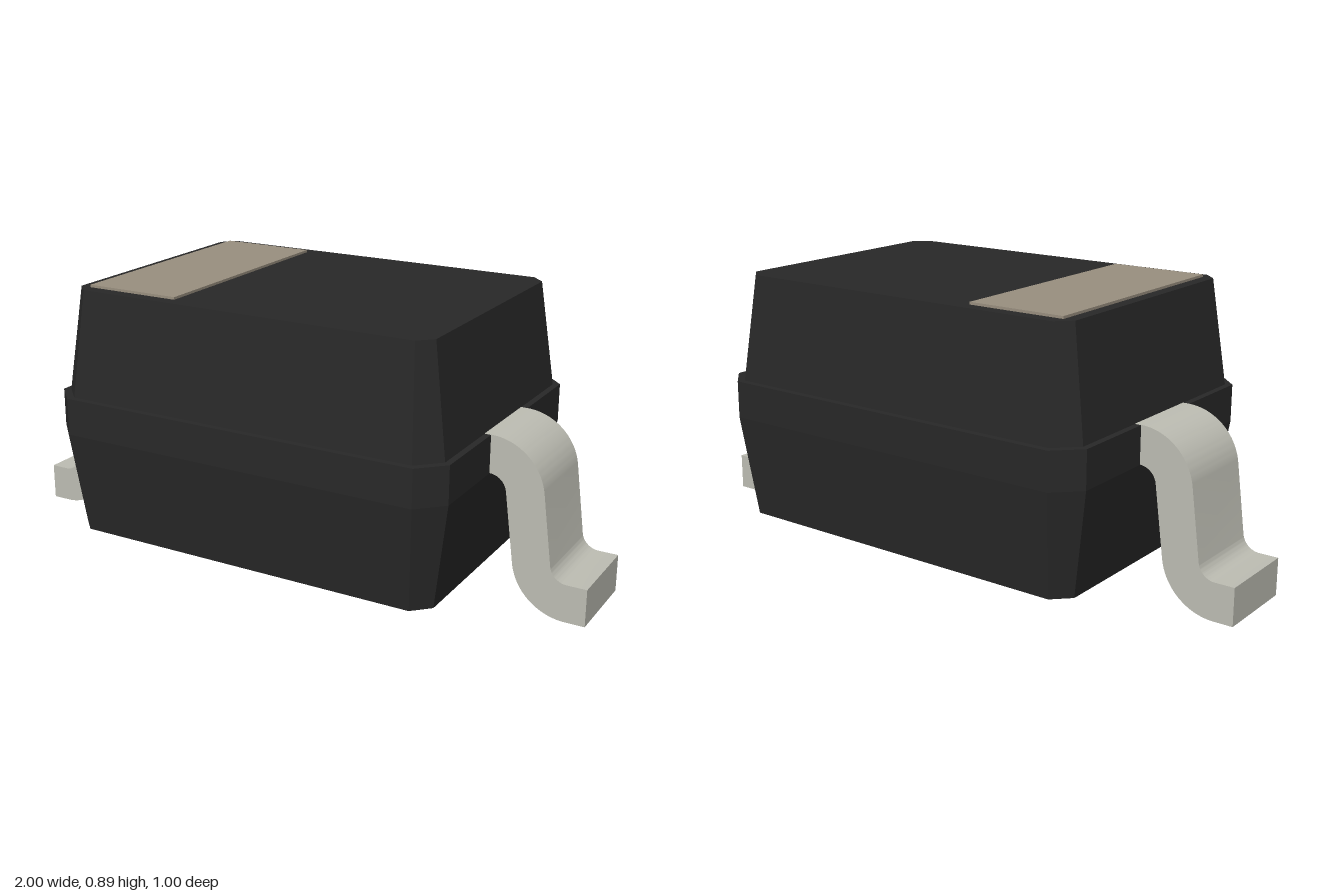
import * as THREE from 'three';
import { toCreasedNormals } from 'three/addons/utils/BufferGeometryUtils.js';

const material = (color) => new THREE.MeshStandardMaterial({ color });

// Rectangle with cut corners, counter-clockwise seen from above
function ring({ y, x, z, c }) {
  return [
    [x, z - c], [x, c - z], [x - c, -z], [c - x, -z],
    [-x, c - z], [-x, z - c], [c - x, z], [x - c, z],
  ].map(([px, pz]) => new THREE.Vector3(px, y, pz));
}

// Skin a stack of rings from bottom to top and cap both ends
function loft(sections) {
  const rings = sections.map(ring);
  const points = [];
  for (let i = 0; i < rings.length - 1; i++) {
    const low = rings[i], high = rings[i + 1];
    for (let j = 0; j < low.length; j++) {
      const k = (j + 1) % low.length;
      points.push(low[j], low[k], high[k], low[j], high[k], high[j]);
    }
  }
  const bottom = rings[0], top = rings[rings.length - 1];
  for (let j = 1; j < bottom.length - 1; j++) {
    points.push(top[0], top[j], top[j + 1], bottom[0], bottom[j + 1], bottom[j]);
  }
  const geometry = new THREE.BufferGeometry().setFromPoints(points);
  geometry.computeVertexNormals();
  return geometry;
}

// Gull-wing strip: two tangent bends joined by a steep straight run
function leadGeometry() {
  const tilt = THREE.MathUtils.degToRad(8);
  const outer = 0.175, inner = 0.055, width = 0.28;
  const shape = new THREE.Shape();
  shape.moveTo(0.655, 0.541);
  shape.lineTo(0.68, 0.541);
  shape.absarc(0.68, 0.366, outer, Math.PI / 2, tilt, true);
  shape.absarc(0.938, 0.175, inner, Math.PI + tilt, Math.PI * 1.5, false);
  shape.lineTo(1, 0.12);
  shape.lineTo(1, 0);
  shape.lineTo(0.938, 0);
  shape.absarc(0.938, 0.175, outer, Math.PI * 1.5, Math.PI + tilt, true);
  shape.absarc(0.68, 0.366, inner, tilt, Math.PI / 2, false);
  shape.lineTo(0.655, 0.421);
  const geometry = new THREE.ExtrudeGeometry(shape, {
    depth: width, bevelEnabled: false, curveSegments: 16,
  });
  geometry.translate(0, 0, -width / 2);
  return toCreasedNormals(geometry, Math.PI / 6);
}

export function createModel() {
  const model = new THREE.Group();
  model.name = 'surfaceMountDiode';
  const add = (name, geometry, mat) => {
    const mesh = new THREE.Mesh(geometry, mat);
    mesh.name = name;
    model.add(mesh);
    return mesh;
  };

  // Moulded case: tapered base, straight band, small ledge, tapered lid
  add('body', loft([
    { y: 0.083, x: 0.633, z: 0.453, c: 0.053 },
    { y: 0.42, x: 0.68, z: 0.5, c: 0.076 },
    { y: 0.54, x: 0.68, z: 0.5, c: 0.076 },
    { y: 0.54, x: 0.66, z: 0.48, c: 0.068 },
    { y: 0.88, x: 0.612, z: 0.433, c: 0.043 },
  ]), material(0x282828));

  // Polarity band on the lid
  const band = add('polarityBand', new THREE.BoxGeometry(0.32, 0.016, 0.784), material(0x998f7f));
  band.position.set(-0.415, 0.88, 0);

  // Matching leads at both ends
  const metal = material(0xbdbdb3);
  const lead = leadGeometry();
  add('leftLead', lead, metal);
  add('rightLead', lead, metal).rotation.y = Math.PI;

  return model;
}
